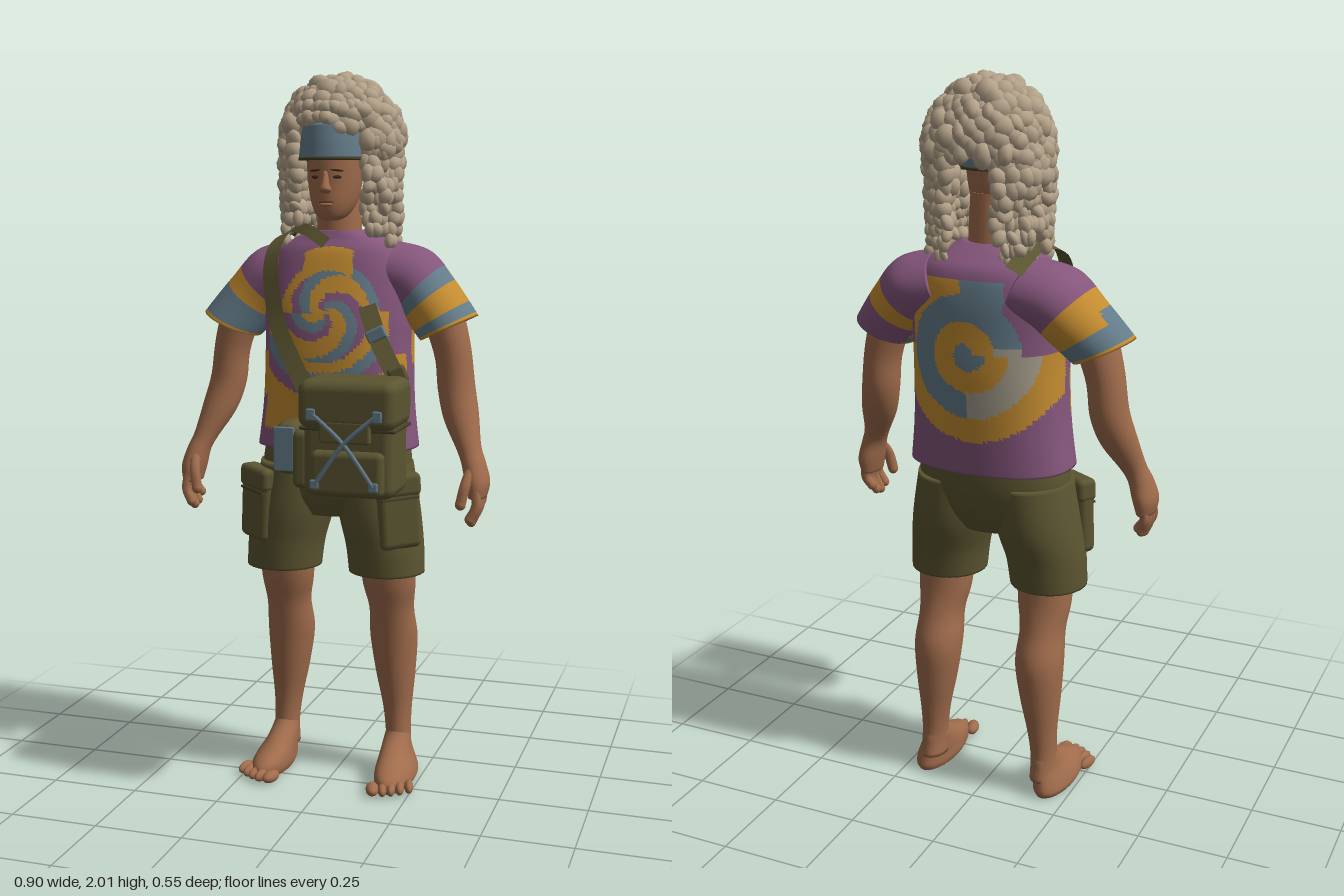
import * as THREE from 'three';
import { mergeGeometries } from 'three/addons/utils/BufferGeometryUtils.js';
import { RoundedBoxGeometry } from 'three/addons/geometries/RoundedBoxGeometry.js';

const V = (x, y, z) => new THREE.Vector3(x, y, z);
const material = (name, color, side = THREE.FrontSide) => {
  const m = new THREE.MeshStandardMaterial({ color, side });
  m.name = name;
  return m;
};

export function createModel() {
  const root = new THREE.Group();
  const skin = material('skin', 0xa06c4c), dark = material('dark brown', 0x3d2a20);
  const hairMat = material('hair', 0xb5a38a), olive = material('olive', 0x5b5531, THREE.DoubleSide);
  const darkOlive = material('dark olive', 0x45412a), purple = material('purple', 0x85567c);
  const orange = material('orange', 0xc48c30), slate = material('slate blue', 0x647c8a);
  const cream = material('cream', 0xa59d8c);
  const dye = [purple, orange, slate, cream];

  let seed = 7;
  const rnd = () => (seed = (seed * 16807) % 2147483647) / 2147483647;

  const add = (name, geo, mat, pos = [0, 0, 0], rot = [0, 0, 0], scale = [1, 1, 1], parent = root) => {
    const m = new THREE.Mesh(geo, mat);
    m.name = name;
    m.position.set(...pos); m.rotation.set(...rot); m.scale.set(...scale);
    parent.add(m);
  };

  // Smooth capped body through rings [x, y, z, rx, rz, tilt], listed top to bottom; s mirrors in x.
  // paint(x, y, z, t) picks a material index for each face.
  function loft(rings, { s = 1, steps = 24, n = 28, p = 1, paint } = {}) {
    const at = (t, k) => {
      const f = t * (rings.length - 1), i = Math.min(Math.floor(f), rings.length - 2), u = f - i;
      const g = j => rings[Math.max(0, Math.min(rings.length - 1, j))][k] || 0;
      const a = g(i - 1), b = g(i), c = g(i + 1), d = g(i + 2);
      return b + 0.5 * u * (c - a + u * (2 * a - 5 * b + 4 * c - d + u * (3 * (b - c) + d - a)));
    };
    const sq = v => Math.sign(v) * Math.abs(v) ** p;
    const pos = [], rows = steps + 3;
    for (let i = 0; i < rows; i++) {
      const t = Math.min(1, Math.max(0, (i - 1) / steps)), r = i === 0 || i === rows - 1 ? 0 : 1;
      const [x, y, z, rx, rz, tilt] = [0, 1, 2, 3, 4, 5].map(k => at(t, k));
      for (let j = 0; j < n; j++) {
        const a = j / n * Math.PI * 2, c = sq(Math.cos(a)) * rx * r;
        pos.push(s * x + c * Math.cos(tilt), y + s * c * Math.sin(tilt), z + sq(Math.sin(a)) * rz * r);
      }
    }
    const lists = [[], [], [], []];
    const face = (t, ...ids) => {
      const c = [0, 1, 2].map(k => ids.reduce((q, id) => q + pos[id * 3 + k], 0) / 3);
      lists[paint ? paint(...c, t) : 0].push(...ids);
    };
    for (let i = 0; i < rows - 1; i++) for (let j = 0; j < n; j++) {
      const a = i * n + j, b = i * n + (j + 1) % n, c = a + n, d = b + n, t = (i - 0.5) / steps;
      if (i > 0) face(t, a, b, c);
      if (i < rows - 2) face(t, b, d, c);
    }
    const geo = new THREE.BufferGeometry();
    geo.setAttribute('position', new THREE.Float32BufferAttribute(pos, 3));
    geo.setIndex(lists.flat());
    if (paint) {
      let start = 0;
      lists.forEach((l, k) => { if (l.length) geo.addGroup(start, l.length, k); start += l.length; });
    }
    geo.computeVertexNormals();
    return geo;
  }
  const tube = (pts, r, n = 10) => new THREE.TubeGeometry(new THREE.CatmullRomCurve3(pts.map(q => V(...q))), n, r, 8);
  const ball = new THREE.SphereGeometry(1, 14, 8);

  // Flat strap following a curve, facing away from the body axis
  function strap(pts, w) {
    const curve = new THREE.CatmullRomCurve3(pts.map(q => V(...q))), N = 28, pos = [], idx = [];
    for (let i = 0; i <= N; i++) {
      const q = curve.getPoint(i / N), out = V(q.x * 0.4, 0.08, q.z + 0.14).normalize();
      const side = curve.getTangent(i / N).cross(out).normalize().multiplyScalar(w / 2);
      pos.push(...q.clone().add(side).toArray(), ...q.clone().sub(side).toArray());
      if (i < N) idx.push(2 * i, 2 * i + 2, 2 * i + 1, 2 * i + 1, 2 * i + 2, 2 * i + 3);
    }
    const geo = new THREE.BufferGeometry();
    geo.setAttribute('position', new THREE.Float32BufferAttribute(pos, 3));
    geo.setIndex(idx);
    geo.computeVertexNormals();
    return geo;
  }

  // Tie-dye shirt: a spiral on the chest, rings on the back (0 purple, 1 orange, 2 slate, 3 cream)
  const chestPaint = (x, y, z) => {
    const th = Math.atan2(y - 1.355, x), r = Math.hypot(x, y - 1.355) + 0.02 * th / Math.PI;
    if (y > 1.36 && (r > 0.19 || (r > 0.15 && Math.abs(x) > 0.07))) return 0;
    if (Math.abs(x) > 0.17 && z < 0) return y > 1.12 && y < 1.24 && z > -0.06 ? 1 : 0;
    if (r < 0.125) {
      const f = (((th / Math.PI + r * 9) % 1) + 1) % 1;
      return f < 0.45 ? 1 : f < 0.75 ? 2 : 0;
    }
    if (y > 1.29 || r < 0.155) return x > 0.07 && y > 1.37 ? 2 : 1;
    if (r < 0.22) return r < 0.185 ? 2 : 0;
    return r < 0.37 && y > 1.03 ? 1 : 0;
  };
  const backPaint = (x, y) => {
    const dy = y - 1.31, r = Math.hypot(x, dy) + 0.02 * Math.atan2(dy, x) / Math.PI;
    if (r < 0.095) return r < 0.035 ? 2 : 1;
    if (r < 0.165) return x < 0 && dy < 0.02 ? 3 : 2;
    if (dy > 0) return y > 1.5 ? 0 : x > -0.1 && x < 0.02 ? 2 : x >= 0.02 && x < 0.17 ? 1 : 0;
    return r < 0.23 ? 1 : 0;
  };
  add('shirtBody', loft([[0, 1.578, -0.1, 0.075, 0.07], [0, 1.555, -0.115, 0.13, 0.095], [0, 1.52, -0.125, 0.18, 0.125],
    [0, 1.45, -0.122, 0.21, 0.143], [0, 1.35, -0.11, 0.212, 0.157], [0, 1.25, -0.105, 0.21, 0.163],
    [0, 1.1, -0.1, 0.215, 0.16], [0, 0.975, -0.095, 0.23, 0.157]],
    { steps: 90, n: 128, p: 0.84, paint: (x, y, z) => z > -0.1 ? chestPaint(x, y, z) : backPaint(x, y) }), dye);

  // Shorts
  add('shortsHips', loft([[0, 1.02, -0.09, 0.2, 0.14], [0, 0.92, -0.085, 0.215, 0.142], [0, 0.84, -0.08, 0.19, 0.127],
    [0, 0.785, -0.078, 0.1, 0.1]], { n: 40, p: 0.9 }), olive);

  for (const s of [1, -1]) {
    const side = s > 0 ? 'left' : 'right';
    const sleevePaint = (x, y, z, t) => {
      if (t < 0.52) return 0;
      if (s < 0) return t > 0.95 || t < 0.7 ? 1 : z < -0.16 && t < 0.8 ? 1 : 2;
      return z < -0.15 ? (t < 0.72 ? 1 : 0) : t < 0.68 ? 2 : t < 0.86 ? 1 : t < 0.96 ? 2 : 1;
    };
    add(side + 'Sleeve', loft([[0.11, 1.465, -0.14, 0.09, 0.115, 1.2], [0.195, 1.447, -0.138, 0.092, 0.12, 0.95],
      [0.255, 1.388, -0.125, 0.087, 0.11, 0.7], [0.318, 1.312, -0.098, 0.086, 0.1, 0.43]],
      { s, steps: 40, n: 44, paint: sleevePaint }), dye);

    // Arm, palm and fingers
    add(side + 'Arm', loft([[0.29, 1.37, -0.11, 0.06, 0.065, 0.4], [0.325, 1.25, -0.11, 0.052, 0.058, 0.3],
      [0.338, 1.15, -0.107, 0.052, 0.057, 0.2], [0.358, 1.07, -0.085, 0.049, 0.053, 0.2], [0.388, 0.99, -0.05, 0.034, 0.04, 0.2],
      [0.405, 0.95, -0.036, 0.033, 0.043, 0.1], [0.418, 0.9, -0.03, 0.034, 0.054], [0.42, 0.858, -0.025, 0.024, 0.05]],
      { s, steps: 32, n: 24 }), skin);
    for (let i = 0; i < 4; i++) {
      const z = 0.012 - i * 0.025, len = [0.07, 0.082, 0.075, 0.055][i];
      const x = 0.42 * s, tip = [x - 0.012 * s, 0.873 - len, z + 0.01];
      add(side + 'Finger', tube([[x, 0.885, z], [x + 0.005 * s, 0.865 - len * 0.4, z + 0.006], tip], 0.0135), skin);
      add(side + 'Fingertip', ball, skin, tip, [0, 0, 0], [0.0135, 0.014, 0.0135]);
    }
    const thumb = [0.385 * s, 0.845, 0.034];
    add(side + 'Thumb', tube([[0.405 * s, 0.94, -0.01], [0.395 * s, 0.895, 0.025], thumb], 0.015), skin);
    add(side + 'ThumbTip', ball, skin, thumb, [0, 0, 0], [0.015, 0.016, 0.015]);

    // Shorts leg with cargo pocket
    add(side + 'ShortsLeg', loft([[0.11, 0.93, -0.08, 0.11, 0.135], [0.127, 0.8, -0.075, 0.116, 0.135],
      [0.146, 0.7, -0.066, 0.111, 0.118], [0.153, 0.622, -0.063, 0.108, 0.108]], { s }), olive);
    const pocket = new THREE.Group();
    pocket.name = side + 'CargoPocket';
    pocket.position.set(0.205 * s, 0.805, 0.012);
    pocket.rotation.set(0, 0.65 * s, 0.06 * s);
    add('pocketBody', new RoundedBoxGeometry(0.125, 0.18, 0.05, 2, 0.02), olive, [0, -0.01, 0], [0, 0, 0], [1, 1, 1], pocket);
    add('pocketFlap', new RoundedBoxGeometry(0.13, 0.065, 0.058, 2, 0.016), olive, [0, 0.08, 0], [0, 0, 0], [1, 1, 1], pocket);
    add('pocketSeam', new THREE.BoxGeometry(0.11, 0.006, 0.008), darkOlive, [0, 0.044, 0.023], [0, 0, 0], [1, 1, 1], pocket);
    root.add(pocket);

    // Leg, foot and toes
    add(side + 'Leg', loft([[0.15, 0.68, -0.08, 0.08, 0.08], [0.153, 0.58, -0.09, 0.076, 0.073], [0.156, 0.5, -0.11, 0.064, 0.07],
      [0.157, 0.41, -0.134, 0.068, 0.075], [0.162, 0.3, -0.138, 0.057, 0.064], [0.168, 0.2, -0.138, 0.042, 0.05],
      [0.172, 0.12, -0.135, 0.036, 0.046], [0.174, 0.05, -0.137, 0.038, 0.055]], { s, steps: 32, n: 24 }), skin);
    add(side + 'Foot', loft([[0.172, 0.15, -0.136, 0.026, 0.034], [0.172, 0.115, -0.128, 0.036, 0.054], [0.175, 0.08, -0.1, 0.042, 0.086],
      [0.183, 0.045, -0.065, 0.052, 0.126], [0.187, 0.018, -0.06, 0.056, 0.134], [0.187, 0.002, -0.06, 0.05, 0.126]], { s }), skin);
    for (let i = 0; i < 5; i++) {
      add(side + 'Toe', ball, skin, [(0.152 + i * 0.022 + (i ? 0.006 : 0)) * s, 0.018, [0.074, 0.07, 0.06, 0.045, 0.025][i]],
        [0, 0.25 * s, 0], [i ? 0.013 : 0.019, 0.017, 0.034]);
    }

    // Eyes and brows
    add(side + 'Eye', ball, dark, [0.03 * s, 1.722, 0.022], [0, 0.3 * s, 0], [0.013, 0.005, 0.006]);
    add(side + 'Brow', ball, dark, [0.031 * s, 1.74, 0.025], [0, 0.35 * s, -0.1 * s], [0.019, 0.003, 0.008]);
  }

  // Head
  add('neck', new THREE.CylinderGeometry(0.056, 0.066, 0.18, 24), skin, [0, 1.615, -0.1]);
  add('head', loft([[0, 1.95, -0.08, 0.03, 0.03], [0, 1.92, -0.08, 0.065, 0.085], [0, 1.84, -0.075, 0.083, 0.103],
    [0, 1.76, -0.065, 0.078, 0.098], [0, 1.7, -0.06, 0.072, 0.091], [0, 1.65, -0.05, 0.06, 0.08],
    [0, 1.617, -0.032, 0.04, 0.052], [0, 1.605, -0.02, 0.018, 0.026]], { steps: 30 }), skin);
  add('nose', loft([[0, 1.738, 0.022, 0.008, 0.012], [0, 1.705, 0.033, 0.011, 0.016], [0, 1.688, 0.035, 0.018, 0.019],
    [0, 1.678, 0.028, 0.009, 0.01]], { steps: 10, n: 16 }), skin);
  add('mouth', ball, dark, [0, 1.655, 0.027], [0, 0, 0], [0.022, 0.002, 0.006]);
  add('lowerLip', ball, skin, [0, 1.648, 0.026], [0, 0, 0], [0.02, 0.006, 0.009]);

  // Headband, flared at the brim
  add('headband', loft([[0, 1.865, -0.07, 0.09, 0.108], [0, 1.82, -0.066, 0.096, 0.115], [0, 1.768, -0.064, 0.101, 0.121]],
    { steps: 8, n: 40 }), slate);
  add('headbandTrim', loft([[0, 1.776, -0.064, 0.102, 0.122], [0, 1.767, -0.064, 0.103, 0.123]], { steps: 2, n: 40 }), darkOlive);

  // Curly hair: a dome of clumps and hanging locks
  const clumps = [], lump = new THREE.IcosahedronGeometry(1, 1);
  const clump = (x, y, z, r, stretch) => {
    const e = new THREE.Euler(rnd() - 0.5, rnd() * 6, rnd() - 0.5);
    clumps.push(lump.clone().applyMatrix4(new THREE.Matrix4().compose(V(x, y, z), new THREE.Quaternion().setFromEuler(e),
      V(r * (0.7 + rnd() * 0.6), r * stretch, r * (0.7 + rnd() * 0.6)))));
  };
  for (let i = 0; i < 230; i++) {
    const h = 1 - i / 230 * 1.25, a = i * 2.39996, c = Math.sqrt(1 - h * h), k = 0.94 + rnd() * 0.12;
    const x = Math.sin(a) * c * 0.15 * k, y = 1.83 + h * 0.143 * k, z = -0.115 + Math.cos(a) * c * 0.124 * k;
    if (z > -0.06 && y < (x > 0.03 ? 1.85 : 1.885) && Math.abs(x) < 0.105) continue;
    if (z < -0.15 && y < 1.81 && Math.abs(x) < 0.075) continue;
    clump(x, y, z, 0.023 + rnd() * 0.01, 0.9 + rnd() * 0.3);
  }
  // Fringe resting on the top of the headband
  for (let i = 0; i < 13; i++) {
    const a = (i - 6) * 0.19;
    clump(Math.sin(a) * 0.1, 1.872 - (i > 7 ? 0.022 : 0) + rnd() * 0.012, -0.078 + Math.cos(a) * 0.103, 0.02, 1);
    clump(Math.sin(a) * 0.105, 1.9 + rnd() * 0.01, -0.09 + Math.cos(a) * 0.1, 0.023, 1);
  }
  for (const [k, from, to, count] of [[1, 42, 152, 18], [0.78, 62, 142, 10]]) for (const s of [1, -1]) {
    for (let i = 0; i < count; i++) {
      const a = THREE.MathUtils.degToRad(from + (to - from) * i / (count - 1)), end = 1.535 + rnd() * 0.085, ph = rnd() * 6;
      for (let y = 1.82; y > end; y -= 0.03) {
        const t = (1.82 - y) / 0.27, w = (0.006 + 0.008 * t) * Math.sin(y * 45 + ph);
        clump(s * Math.sin(a) * 0.154 * k + w, y, -0.115 + Math.cos(a) * 0.128 * k + w, 0.024 - 0.009 * t, 1.4);
      }
    }
  }
  add('hairCurls', mergeGeometries(clumps), hairMat);
  add('hairBase', new THREE.SphereGeometry(1, 28, 16, 0, Math.PI * 2, 0, Math.PI * 0.5), hairMat,
    [0, 1.83, -0.118], [0, 0, 0], [0.148, 0.142, 0.12]);

  // Shoulder bag
  const box = (name, w, h, d, mat, pos, r = 0.02, rot) => add(name, new RoundedBoxGeometry(w, h, d, 2, r), mat, pos, rot);
  box('bagBody', 0.25, 0.31, 0.165, olive, [0.127, 1.04, 0.165], 0.03);
  box('bagFlap', 0.268, 0.13, 0.192, olive, [0.127, 1.135, 0.173], 0.03);
  box('bagFrontPocket', 0.2, 0.12, 0.045, olive, [0.13, 0.955, 0.247], 0.018);
  box('bagFlapTip', 0.14, 0.06, 0.02, olive, [0.125, 1.065, 0.258], 0.008);
  box('bagSidePocket', 0.05, 0.16, 0.12, olive, [-0.01, 0.98, 0.165], 0.02);
  box('bottlePouch', 0.07, 0.145, 0.11, olive, [-0.055, 1.005, 0.16], 0.03);
  box('bottlePouchPanel', 0.058, 0.12, 0.009, slate, [-0.058, 1.005, 0.213], 0.004);
  box('bagEdge', 0.262, 0.01, 0.17, darkOlive, [0.127, 1.07, 0.165], 0.004);
  for (const s of [1, -1]) {
    add('bagCord', tube([[0.125 - 0.09 * s, 1.115, 0.268], [0.125, 1.035, 0.271], [0.125 + 0.08 * s, 0.925, 0.269]], 0.006), slate);
    box('bagBuckle', 0.026, 0.032, 0.012, slate, [0.125 + 0.09 * s, 1.11, 0.267], 0.005);
    box('bagLowerBuckle', 0.026, 0.026, 0.012, slate, [0.125 + 0.08 * s, 0.925, 0.267], 0.005);
  }

  // Straps and buckles
  add('shoulderStrap', strap([[-0.12, 1.53, -0.235], [-0.135, 1.578, -0.12], [-0.152, 1.545, -0.005], [-0.155, 1.48, 0.04],
    [-0.125, 1.34, 0.08], [-0.075, 1.25, 0.12], [-0.015, 1.17, 0.17]], 0.05), olive);
  add('collarStrap', strap([[-0.13, 1.585, -0.08], [-0.07, 1.578, -0.025], [-0.005, 1.545, 0.01]], 0.035), olive);
  add('sideStrap', strap([[0.125, 1.38, 0.056], [0.165, 1.29, 0.08], [0.205, 1.22, 0.097], [0.24, 1.16, 0.11]], 0.05), olive);
  box('strapBuckle', 0.055, 0.035, 0.016, slate, [0.158, 1.305, 0.08], 0.006, [0, 0.1, 0.45]);
  box('strapClip', 0.05, 0.05, 0.03, olive, [0.225, 1.2, 0.1], 0.01, [0, 0.2, 0.4]);
  return root;
}
